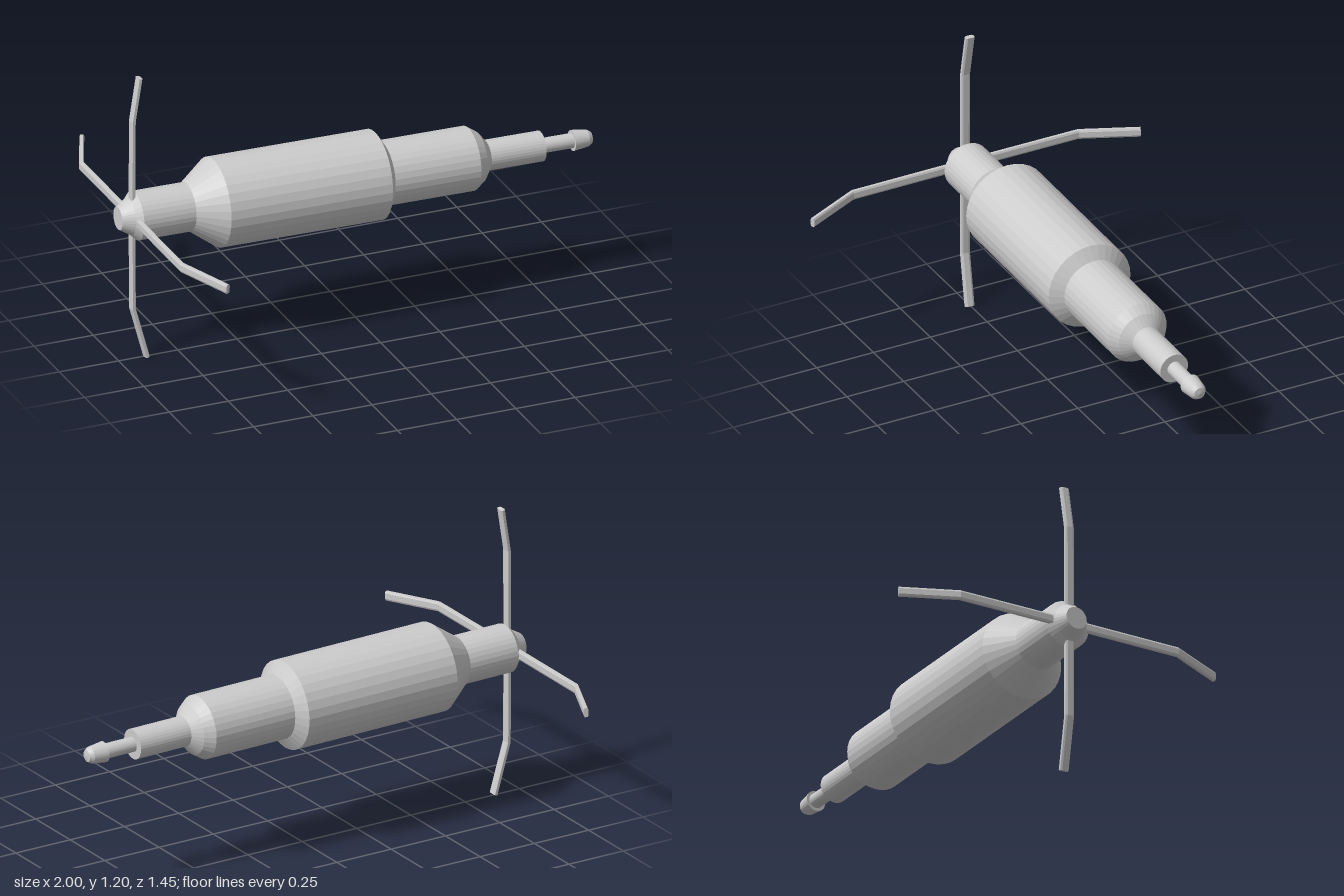
import * as THREE from 'three';

const V = (x, y, z) => new THREE.Vector3(x, y, z);

// Chamfered flat bar swept along a bent path; 'across' is its wide direction
function barGeometry(path, across, halfWidth, halfThick) {
  const c = 0.6;
  const section = [[1, -c], [1, c], [c, 1], [-c, 1], [-1, c], [-1, -c], [-c, -1], [c, -1]];
  const n = section.length, positions = [], index = [];
  path.forEach((p, k) => {
    const before = p.clone().sub(path[Math.max(k - 1, 0)]).normalize();
    const after = path[Math.min(k + 1, path.length - 1)].clone().sub(p).normalize();
    const tangent = before.add(after).normalize();
    const normal = tangent.clone().cross(across).normalize();
    const side = normal.clone().cross(tangent);
    for (const [a, b] of section) {
      positions.push(...p.clone().addScaledVector(side, a * halfWidth).addScaledVector(normal, b * halfThick));
    }
  });
  for (let k = 0; k < path.length - 1; k++) {
    for (let i = 0; i < n; i++) {
      const a = k * n + i, b = k * n + (i + 1) % n;
      index.push(a, b, b + n, a, b + n, a + n);
    }
  }
  // End caps
  const last = (path.length - 1) * n;
  for (let i = 1; i < n - 1; i++) {
    index.push(0, i + 1, i, last, last + i, last + i + 1);
  }
  const g = new THREE.BufferGeometry();
  g.setAttribute('position', new THREE.Float32BufferAttribute(positions, 3));
  g.setIndex(index);
  const flat = g.toNonIndexed();
  flat.computeVertexNormals();
  return flat;
}

export function createModel() {
  const model = new THREE.Group();
  const grey = new THREE.MeshStandardMaterial({ color: 0xcccccc });
  grey.name = 'light grey';

  // Turned body, with each profile given as [position along axis, radius]
  const body = new THREE.Group();
  body.name = 'body';
  const parts = {
    hubCap: [[-1, 0], [-1, 0.046], [-0.955, 0.073], [-0.93, 0.098]],
    neck: [[-0.93, 0.098], [-0.71, 0.098]],
    shoulder: [[-0.71, 0.098], [-0.597, 0.18]],
    mainHousing: [[-0.597, 0.18], [0.085, 0.18], [0.118, 0.129]],
    frontHousing: [[0.118, 0.129], [0.48, 0.129], [0.52, 0.102], [0.553, 0.061]],
    sleeve: [[0.553, 0.061], [0.785, 0.061], [0.785, 0.03]],
    rod: [[0.785, 0.03], [0.917, 0.03]],
    tip: [[0.917, 0.03], [0.917, 0.042], [0.98, 0.034], [0.996, 0.024], [1, 0]],
  };
  for (const [name, profile] of Object.entries(parts)) {
    const points = profile.map(([along, r]) => new THREE.Vector2(r, along));
    const geometry = new THREE.LatheGeometry(points, 32).toNonIndexed();
    geometry.computeVertexNormals();
    const mesh = new THREE.Mesh(geometry, grey);
    mesh.name = name;
    body.add(mesh);
  }
  body.position.set(0, 0.597, -0.006);
  body.rotation.z = -Math.PI / 2 - 0.0135; // lies along x with a slight droop
  model.add(body);

  // Four bent blades around the hub
  const hub = V(-0.942, 0.609, -0.004);
  const wideZ = V(0, 0, 1), wideY = V(0, 1, 0);
  const blades = {
    upperBlade: [V(-0.94, 1.02, -0.004), V(-0.91, 1.199, -0.008), wideZ],
    lowerBlade: [V(-0.94, 0.215, -0.003), V(-0.885, 0.003, 0.006), wideZ],
    frontBlade: [V(-0.942, 0.608, 0.49), V(-0.845, 0.596, 0.718), wideY],
    backBlade: [V(-0.942, 0.608, -0.502), V(-0.845, 0.607, -0.725), wideY],
  };
  for (const [name, [bend, end, across]] of Object.entries(blades)) {
    const mesh = new THREE.Mesh(barGeometry([hub, bend, end], across, 0.019, 0.0095), grey);
    mesh.name = name;
    model.add(mesh);
  }
  return model;
}
